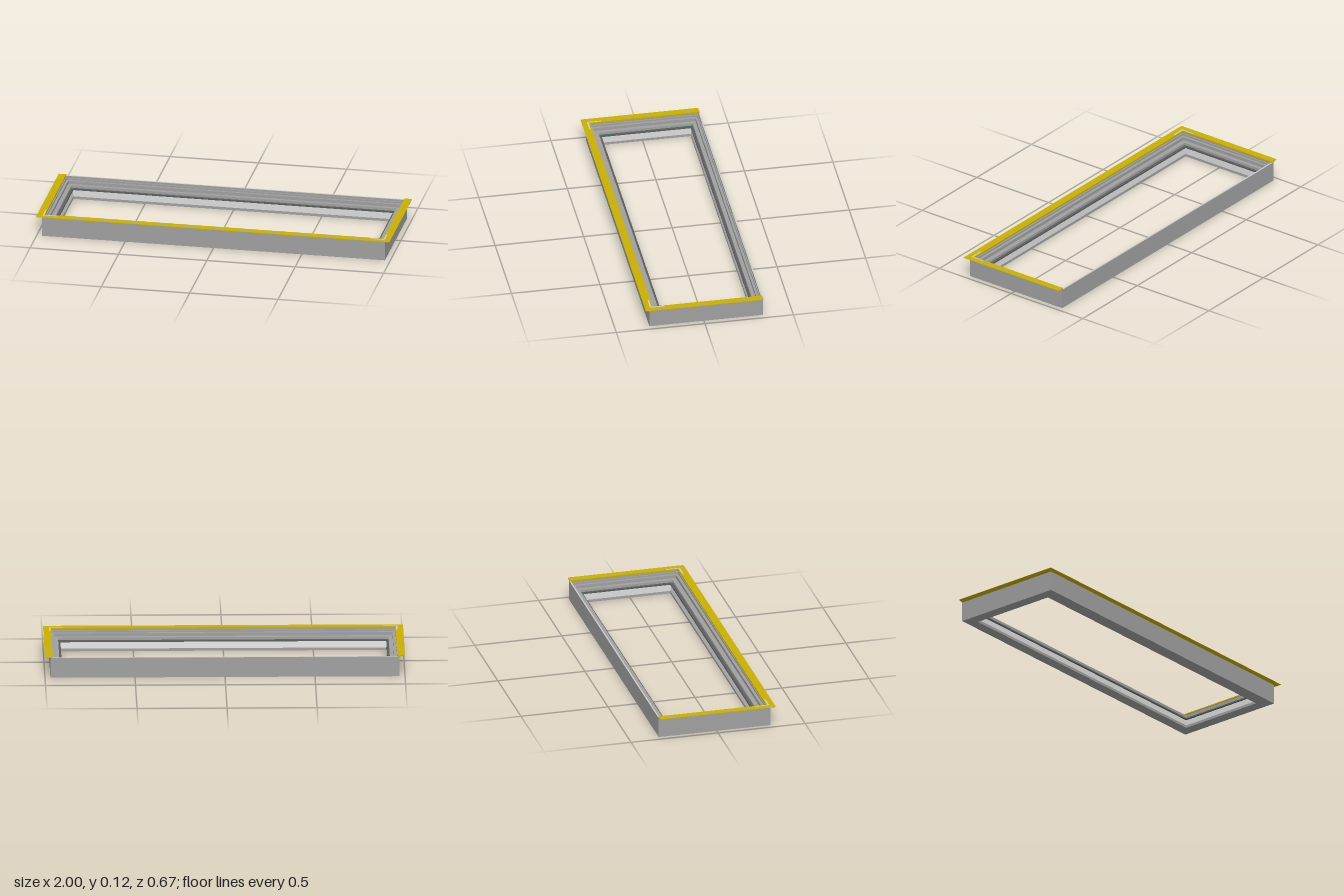
import * as THREE from 'three';

const material = (color) => new THREE.MeshStandardMaterial({ color, flatShading: true });
const GREY = material(0xa0a0a0), LIGHT = material(0xcccccc), DARK = material(0x5d5d5d);
const YELLOW = material(0xc8b000), GREEN = material(0x2f7a3a);

// Sweeps a counter-clockwise profile [t, y] around a rectangle; t = 0 lies on the
// outer rectangle, t = 1 on the inner one. An open sweep leaves the back side free.
function sweep(name, profile, outer, inner, closed, mat) {
  const mix = (key, t) => outer[key] + (inner[key] - outer[key]) * t;
  const corners = [[1, 'back'], [1, 'front'], [-1, 'front'], [-1, 'back']];
  const at = (j, i) => {
    const [side, end] = corners[j % 4];
    const [t, y] = profile[i % profile.length];
    return [side * mix('x', t), y, mix(end, t)];
  };
  const pos = [];
  for (let j = 0; j < (closed ? 4 : 3); j++) {
    for (let i = 0; i < profile.length; i++) {
      pos.push(...at(j, i), ...at(j + 1, i), ...at(j + 1, i + 1));
      pos.push(...at(j, i), ...at(j + 1, i + 1), ...at(j, i + 1));
    }
  }
  // flat end caps of an open sweep
  if (!closed) {
    for (let i = 1; i < profile.length - 1; i++) {
      pos.push(...at(0, 0), ...at(0, i), ...at(0, i + 1));
      pos.push(...at(3, 0), ...at(3, i + 1), ...at(3, i));
    }
  }
  const geometry = new THREE.BufferGeometry();
  geometry.setAttribute('position', new THREE.Float32BufferAttribute(pos, 3));
  geometry.computeVertexNormals();
  const mesh = new THREE.Mesh(geometry, mat);
  mesh.name = name;
  return mesh;
}

function box(name, w, h, d, x, y, z, mat) {
  const mesh = new THREE.Mesh(new THREE.BoxGeometry(w, h, d), mat);
  mesh.position.set(x, y, z);
  mesh.name = name;
  return mesh;
}

export function createModel() {
  const model = new THREE.Group();
  model.name = 'windowFrame';
  const outer = { x: 0.97, front: 0.308, back: -0.333 };
  const inner = { x: 0.905, front: 0.232, back: -0.272 };

  // mitred frame with a stepped inside
  const steps = [
    [0, 0], [1, 0], [1, 0.015], [0.8, 0.015], [0.8, 0.074], [0.45, 0.074],
    [0.45, 0.092], [0.24, 0.092], [0.24, 0.102], [0.14, 0.102], [0.14, 0.113], [0, 0.113],
  ];
  model.add(sweep('frame', steps, outer, inner, true, GREY));

  // steep pale lip round the opening, with a dark gasket above it
  const lip = [[0.8, 0.015], [1, 0.015], [0.87, 0.052], [0.8, 0.052]];
  model.add(sweep('lip', lip, outer, inner, true, LIGHT));
  const gasket = [[0.8, 0.052], [1, 0.052], [1, 0.06], [0.8, 0.06]];
  model.add(sweep('gasket', gasket, outer, inner, true, DARK));

  // flared flange along the front and both short sides
  const flare = [[0, 0.1185], [0.63, 0.113], [1, 0.113], [1, 0.12], [0, 0.12]];
  model.add(sweep('flange', flare,
    { x: 1, front: 0.333, back: -0.331 },
    { x: 0.957, front: 0.288, back: -0.331 }, false, YELLOW));

  // pale rim on the back wall
  model.add(box('backRim', 1.92, 0.002, 0.008, 0, 0.1135, -0.329, LIGHT));

  for (const s of [-1, 1]) {
    // thin L-shaped bracket on each front corner
    const bracket = new THREE.Group();
    bracket.name = s > 0 ? 'leftCornerBracket' : 'rightCornerBracket';
    bracket.add(
      box('bracketLongArm', 0.08, 0.002, 0.009, s * 0.928, 0.1194, 0.299, LIGHT),
      box('bracketShortArm', 0.008, 0.002, 0.08, s * 0.964, 0.1194, 0.263, LIGHT));
    model.add(bracket);
    // small seals at the ends of the short sides
    for (const z of [-0.252, 0.205]) {
      model.add(box('cornerSeal', 0.006, 0.006, 0.045, s * 0.911, 0.0585, z, GREEN));
    }
  }
  return model;
}
